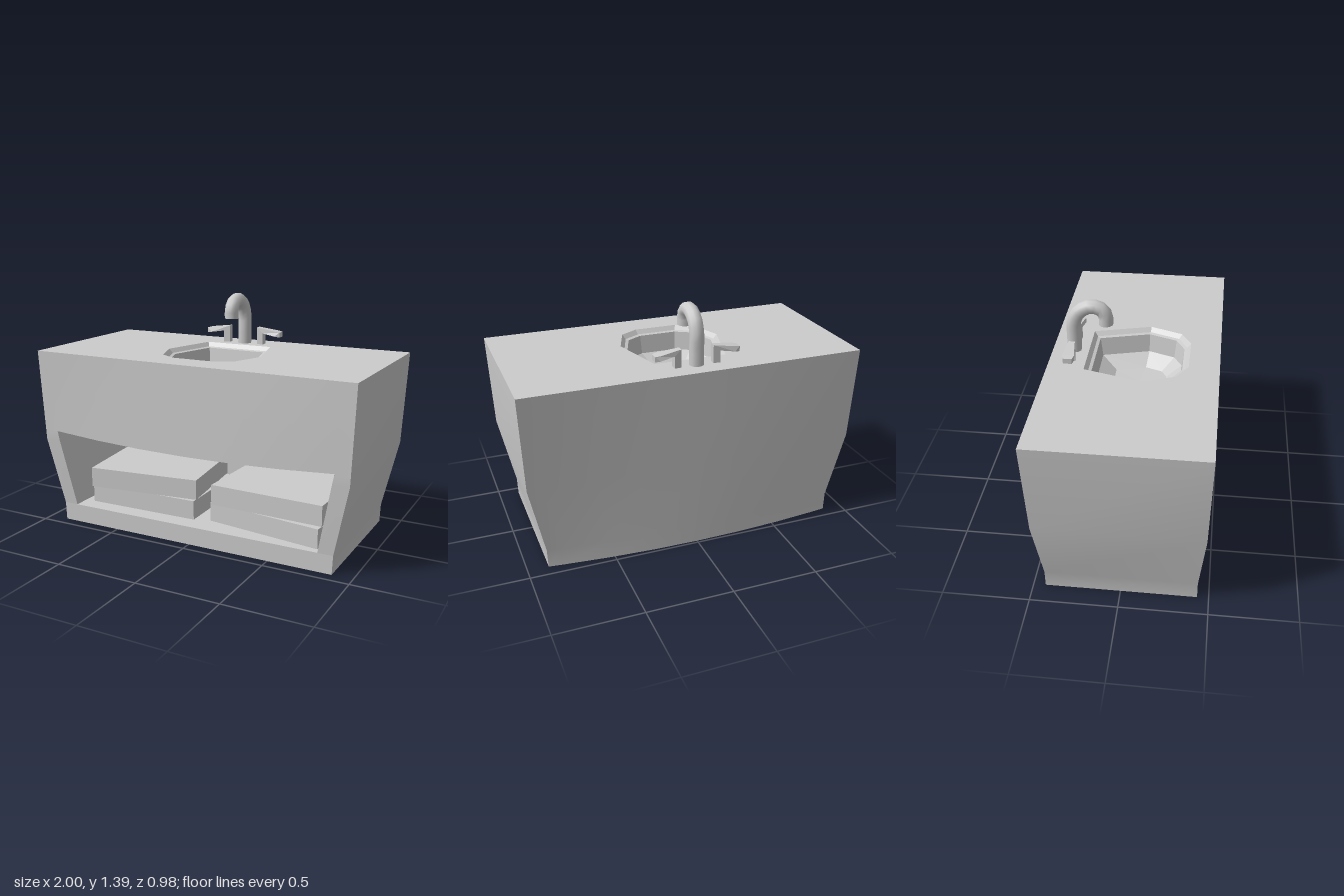
import * as THREE from 'three';

const TOP = 1.07, SILL = 0.11, LINTEL = 0.58, CX = -0.03;
const lerp = THREE.MathUtils.lerp;

// Cabinet section by height: y, half width, front z, back z at the corners
const LEVELS = [
  [0, 0.88, 0.435, -0.43],
  [SILL, 0.885, 0.435, -0.43],
  [0.52, 0.975, 0.472, -0.465],
  [TOP, 1, 0.485, -0.485],
];
function section(y) {
  let i = 0;
  while (i < LEVELS.length - 2 && y > LEVELS[i + 1][0]) i++;
  const a = LEVELS[i], b = LEVELS[i + 1];
  const t = (y - a[0]) / (b[0] - a[0]);
  return { w: lerp(a[1], b[1], t), front: lerp(a[2], b[2], t), back: lerp(a[3], b[3], t) };
}
const openingHalf = (y) => lerp(0.795, 0.89, (y - SILL) / (LINTEL - SILL));

const smooth = new THREE.MeshStandardMaterial({ color: 0xcccccc, side: THREE.DoubleSide });
const flat = new THREE.MeshStandardMaterial({ color: 0xcccccc, side: THREE.DoubleSide, flatShading: true });

function add(parent, name, geometry, material = flat) {
  const mesh = new THREE.Mesh(geometry, material);
  mesh.name = name;
  parent.add(mesh);
  return mesh;
}

// Surface through rows of points
function sheet(rows) {
  const n = rows[0].length, index = [];
  for (let r = 0; r < rows.length - 1; r++) {
    for (let c = 0; c < n - 1; c++) {
      const a = r * n + c, b = a + n;
      index.push(a, a + 1, b + 1, a, b + 1, b);
    }
  }
  const g = new THREE.BufferGeometry();
  g.setAttribute('position', new THREE.Float32BufferAttribute(rows.flat(2), 3));
  g.setIndex(index);
  g.computeVertexNormals();
  return g;
}

// Sink outline, clockwise from the back, scaled about its middle
function outline(scale) {
  const half = [[0.215, -0.275], [0.305, 0.06], [0.235, 0.25], [0.13, 0.31]];
  const all = [...half, ...half.slice().reverse().map(([x, z]) => [-x, z])];
  return all.map(([x, z]) => [CX + x * scale, 0.02 + (z - 0.02) * scale]);
}

function buildCabinet() {
  const g = new THREE.Group();
  g.name = 'cabinet';
  const ys = LEVELS.map((l) => l[0]);
  const us = [-1, -0.91, -0.6, -0.3, 0, 0.3, 0.6, 0.91, 1];

  // Back, bulging toward the middle of its lower half
  const backRow = (y) => us.map((u) => {
    const s = section(y);
    return [s.w * u, y, lerp(s.back, -0.485, 1 - u * u)];
  });
  add(g, 'backPanel', sheet(ys.map((y) => backRow(y).reverse())), smooth);
  add(g, 'base', sheet([backRow(0), us.map((u) => [0.88 * u, 0, 0.435])]), smooth);

  // Upper front, bowed, with a curved lower edge
  const frontRow = (t) => us.map((u) => {
    const bow = Math.max(0, 1 - (u / 0.91) ** 2);
    const y = lerp(LINTEL - 0.03 * bow, TOP, t), s = section(y);
    return [s.w * u, y, s.front + 0.018 * bow * (1 - t)];
  });
  add(g, 'frontPanel', sheet([0, 0.5, 1].map(frontRow)), smooth);

  // Sides and the frame around the opening
  for (const s of [1, -1]) {
    add(g, s > 0 ? 'leftSide' : 'rightSide', sheet(ys.map((y) => {
      const { w, front, back } = section(y);
      const row = [[s * w, y, front], [s * w, y, back]];
      return s > 0 ? row : row.reverse();
    })), smooth);
    add(g, s > 0 ? 'leftFrame' : 'rightFrame', sheet([SILL, 0.52, LINTEL].map((y) => {
      const { w, front } = section(y);
      const row = [[s * openingHalf(y), y, front], [s * w, y, front]];
      return s > 0 ? row : row.reverse();
    })), smooth);
  }
  add(g, 'sill', sheet([0, SILL].map((y) => [-1, 1].map((s) => [s * section(y).w, y, 0.435]))), smooth);

  // Shelf niche: ceiling, walls, floor and back
  const ceiling = frontRow(0).slice(1, -1);
  const corner = (s) => [s * openingHalf(SILL), SILL, 0.435];
  const loop = [...ceiling, corner(1), corner(-1), ceiling[0]];
  const deep = loop.map(([x, y]) => [x, y, -0.38]);
  const middle = deep.map(() => [0, 0.33, -0.38]);
  add(g, 'niche', sheet([loop, deep, middle]).toNonIndexed(), flat);

  // Worktop with the sink cut out
  const top = new THREE.Shape([[-1, -0.485], [1, -0.485], [1, 0.485], [-1, 0.485]]
    .map(([x, y]) => new THREE.Vector2(x, y)));
  top.holes.push(new THREE.Path(outline(1).map(([x, z]) => new THREE.Vector2(x, -z))));
  add(g, 'worktop', new THREE.ShapeGeometry(top).rotateX(-Math.PI / 2).translate(0, TOP, 0));
  return g;
}

// Faceted bowl: bevelled rim, steep wall, sloping bottom
function buildBasin(parent) {
  const rings = [[1, TOP], [0.93, 1.045], [0.87, 1.04], [0.82, 0.93], [0.52, 0.87], [0, 0.865]];
  const rows = rings.map(([k, y]) => {
    const pts = outline(k).map(([x, z]) => [x, y, z]);
    return [...pts, pts[0]];
  });
  add(parent, 'basin', sheet(rows));
}

function buildFaucet() {
  const g = new THREE.Group();
  g.name = 'faucet';
  const path = new THREE.CatmullRomCurve3([
    [1.07, -0.36], [1.16, -0.36], [1.25, -0.358], [1.315, -0.328], [1.353, -0.26],
    [1.338, -0.2], [1.3, -0.175], [1.245, -0.173],
  ].map(([y, z]) => new THREE.Vector3(CX, y, z)));
  add(g, 'spout', new THREE.TubeGeometry(path, 14, 0.042, 10), smooth);
  add(g, 'spoutEnd', new THREE.CircleGeometry(0.042, 10).rotateX(Math.PI / 2).translate(CX, 1.246, -0.173));

  // Lever handles, flaring toward the tip
  const profile = [[0.095, 1.07], [0.095, 1.175], [0.22, 1.158], [0.25, 1.153],
    [0.25, 1.122], [0.22, 1.127], [0.135, 1.14], [0.135, 1.07]];
  const flare = (d) => (d < 0.22 ? lerp(0.018, 0.033, (d - 0.095) / 0.125) : lerp(0.033, 0.025, (d - 0.22) / 0.03));
  for (const s of [1, -1]) {
    const shape = new THREE.Shape(profile.map(([d, y]) => new THREE.Vector2(s * d, y)));
    const geo = new THREE.ExtrudeGeometry(shape, { depth: 1, bevelEnabled: false });
    const p = geo.attributes.position;
    for (let i = 0; i < p.count; i++) {
      p.setZ(i, (p.getZ(i) * 2 - 1) * flare(Math.abs(p.getX(i))));
    }
    geo.translate(CX, 0, -0.358);
    add(g, s > 0 ? 'leftHandle' : 'rightHandle', geo);
  }
  return g;
}

// Folded towels: x, bottom y, z, width, height, turn
function buildTowels() {
  const g = new THREE.Group();
  g.name = 'towels';
  const towels = [
    [-0.385, SILL, 0.06, 0.71, 0.115, 0.015],
    [-0.402, 0.225, 0.07, 0.695, 0.12, 0.12],
    [0.462, SILL, 0.075, 0.717, 0.115, -0.14],
    [0.448, 0.225, 0.065, 0.695, 0.12, -0.04],
  ];
  for (const [x, y, z, w, h, turn] of towels) {
    const towel = add(g, 'towel', new THREE.BoxGeometry(w, h, 0.54));
    towel.position.set(x, y + h / 2, z);
    towel.rotation.y = turn;
  }
  return g;
}

export function createModel() {
  const model = new THREE.Group();
  model.name = 'washstand';
  model.add(buildCabinet(), buildFaucet(), buildTowels());
  buildBasin(model);
  return model;
}
